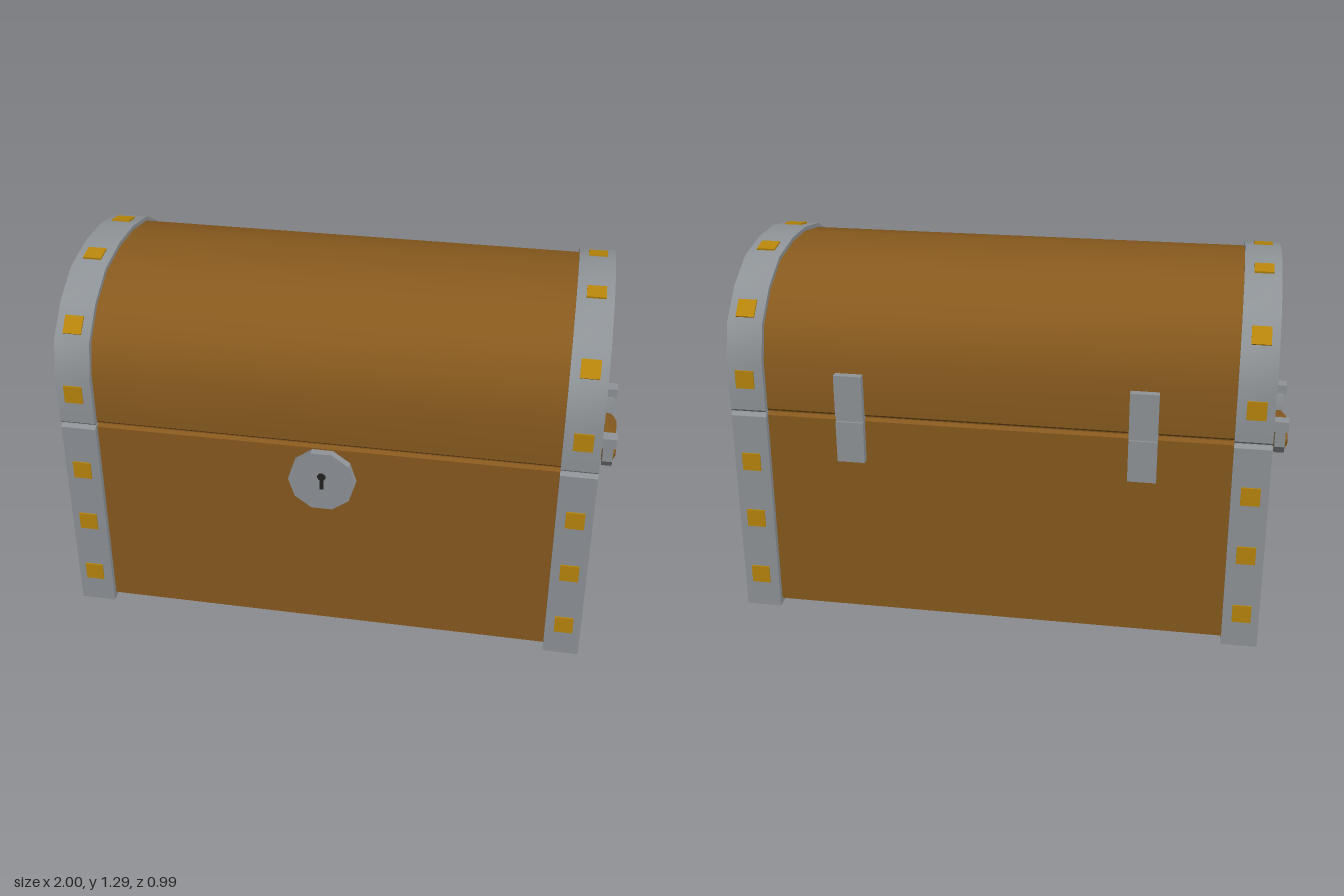
import * as THREE from 'three';
import { toCreasedNormals } from 'three/addons/utils/BufferGeometryUtils.js';

const material = (color) => new THREE.MeshStandardMaterial({ color });

export function createModel() {
  const chest = new THREE.Group();
  const wood = material(0x885a1e);
  const iron = material(0x8f9498);
  const gold = material(0xb8860b);
  const dark = material(0x222222);

  const add = (name, geometry, mat, parent = chest) => {
    const mesh = new THREE.Mesh(geometry, mat);
    mesh.name = name;
    parent.add(mesh);
    return mesh;
  };
  const box = (name, w, h, d, x, y, z, mat, parent) => {
    const mesh = add(name, new THREE.BoxGeometry(w, h, d), mat, parent);
    mesh.position.set(x, y, z);
    return mesh;
  };

  // Symmetric cross-section from one half, listed bottom to top as [z, y]
  const section = (half) => new THREE.Shape([
    ...half.map(([z, y]) => new THREE.Vector2(z, y)),
    ...half.slice().reverse().map(([z, y]) => new THREE.Vector2(-z, y)),
  ]);
  // Cross-section swept along x, centred on x
  const sweep = (shape, width, x = 0) => {
    const g = new THREE.ExtrudeGeometry(shape, { depth: width, bevelEnabled: false });
    g.translate(0, 0, -width / 2).rotateY(Math.PI / 2).translate(x, 0, 0);
    return toCreasedNormals(g, 0.6);
  };

  const base = [[0.487, 0], [0.487, 0.757], [0.477, 0.768]];
  const lid = [[0.477, 0.772], [0.487, 0.781], [0.487, 0.96], [0.455, 1.085],
    [0.36, 1.19], [0.235, 1.262], [0.075, 1.29]];
  const inset = 0.955;
  const baseInner = base.map(([z, y]) => [z * inset, Math.max(y, 0.02)]);
  const lidInner = lid.map(([z, y]) => [z * inset, y > 0.96 ? 0.96 + (y - 0.96) * inset : y]);

  // Wooden body between the bands
  add('base', sweep(section(baseInner), 1.62), wood);
  add('lid', sweep(section(lidInner), 1.62), wood);
  box('seam', 1.84, 0.03, 0.91, 0, 0.77, 0, wood);

  // Stud places on the band profile: z, y, tilt about x
  const tilt = (a, b) => -Math.atan2(b[0] - a[0], b[1] - a[1]);
  const studs = [
    [0.487, 0.13, 0], [0.487, 0.36, 0], [0.487, 0.583, 0], [0.487, 0.895, 0],
    [0.416, 1.128, tilt(lid[3], lid[4])], [0.157, 1.276, tilt(lid[5], lid[6])],
  ];

  for (const side of [-1, 1]) {
    // Iron bands with wooden end panels
    add('baseBand', sweep(section(base), 0.125, side * 0.8675), iron);
    add('lidBand', sweep(section(lid), 0.125, side * 0.8675), iron);
    for (const [name, half] of [['baseEndPanel', base], ['lidEndPanel', lid]]) {
      const panel = add(name, new THREE.ShapeGeometry(section(half)), wood);
      panel.rotation.y = side * Math.PI / 2;
      panel.position.x = side * 0.931;
    }

    // Gold studs, front and back
    for (const [z, y, angle] of studs) {
      for (const face of [-1, 1]) {
        const stud = box('stud', 0.065, 0.065, 0.012, side * 0.87, y, face * z, gold);
        stud.rotation.x = -face * Math.abs(angle);
      }
    }

    // Carrying handle
    const handle = new THREE.Group();
    handle.name = 'handle';
    handle.rotation.y = side > 0 ? 0 : Math.PI;
    chest.add(handle);
    for (const s of [-1, 1]) {
      box('handleMount', 0.065, 0.038, 0.048, 0.962, 0.719, s * 0.177, iron, handle);
      const pts = [[0.192, 0.705], [0.148, 0.705], [0.135, 0.655], [0.135, 0.606],
        [0.163, 0.606], [0.192, 0.64]];
      const arm = new THREE.Shape(pts.map(([z, y]) => new THREE.Vector2(s * z, y)));
      add('handleArm', sweep(arm, 0.036, 0.967), iron, handle);
    }
    const profile = [[0, -0.138], [0.022, -0.138], [0.033, -0.1],
      [0.033, 0.1], [0.022, 0.138], [0, 0.138]].map(([r, y]) => new THREE.Vector2(r, y));
    const grip = new THREE.LatheGeometry(profile, 8, Math.PI / 8);
    grip.rotateX(Math.PI / 2).translate(0.968, 0.624, 0);
    add('handleGrip', toCreasedNormals(grip, 0.3), wood, handle);

    // Hinge on the back: two leaves and a recessed joint
    box('hingeLowerLeaf', 0.097, 0.15, 0.03, side * 0.505, 0.685, -0.477, iron);
    box('hingeUpperLeaf', 0.097, 0.15, 0.03, side * 0.505, 0.855, -0.477, iron);
    box('hingeJoint', 0.097, 0.03, 0.03, side * 0.505, 0.77, -0.469, iron);
  }

  // Lock plate with keyhole
  const plate = new THREE.CylinderGeometry(0.118, 0.118, 0.04, 10, 1, false, Math.PI / 10);
  plate.rotateX(Math.PI / 2).translate(0, 0.64, 0.473);
  add('lockPlate', toCreasedNormals(plate, 0.3), iron);
  const hole = new THREE.CylinderGeometry(0.015, 0.015, 0.004, 10);
  hole.rotateX(Math.PI / 2).translate(0, 0.66, 0.4925);
  add('keyhole', hole, dark);
  box('keyholeSlot', 0.014, 0.05, 0.004, 0, 0.634, 0.4925, dark);

  return chest;
}
